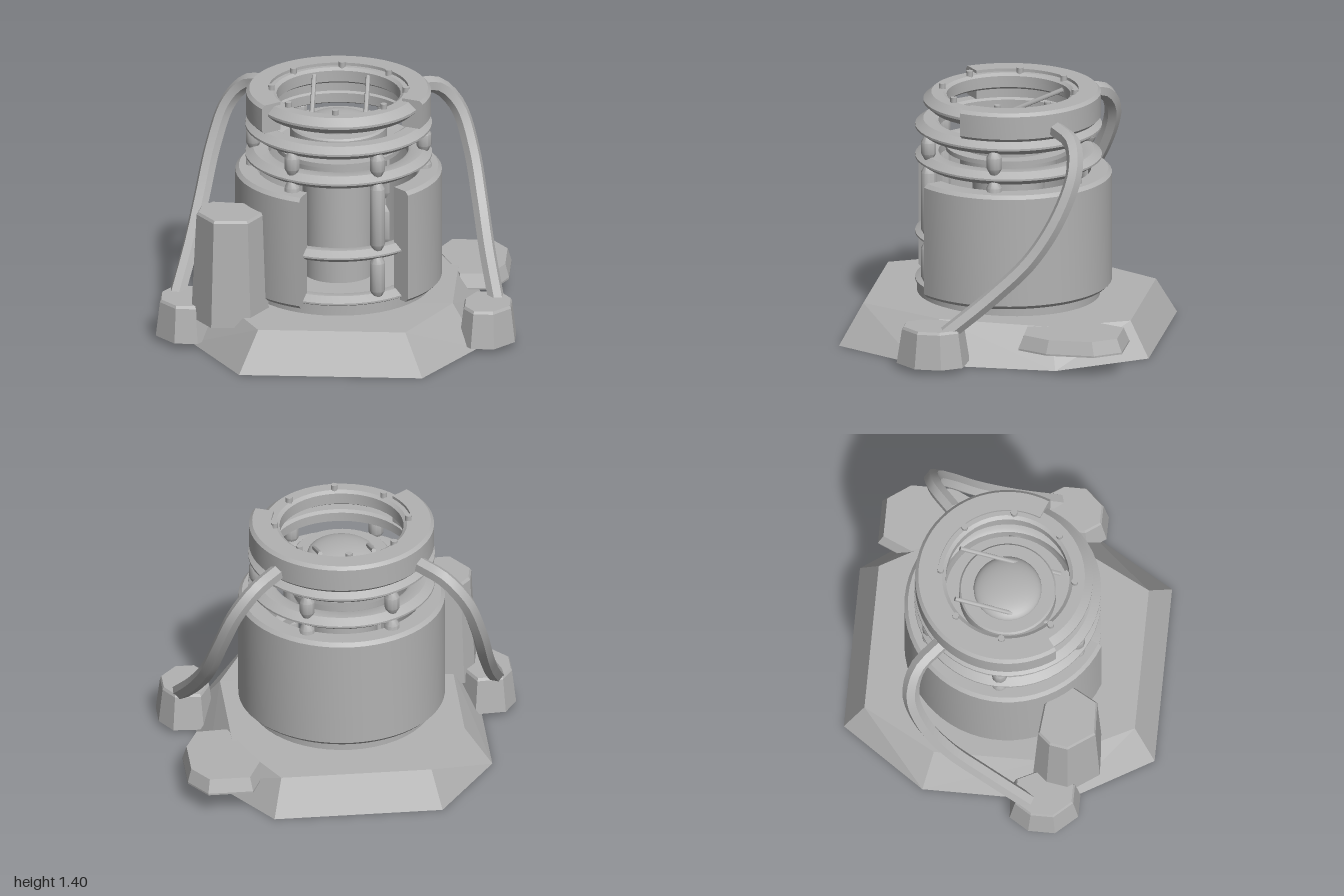
import * as THREE from 'three';
import { mergeGeometries, toCreasedNormals } from 'three/addons/utils/BufferGeometryUtils.js';
import { ConvexGeometry } from 'three/addons/geometries/ConvexGeometry.js';

const RAD = Math.PI / 180;

export function createModel() {
  const model = new THREE.Group();
  model.name = 'reactorPod';
  const grey = new THREE.MeshStandardMaterial({ color: 0xb2b2b2 });
  grey.name = 'plainGrey';

  const add = (name, geometry) => {
    const mesh = new THREE.Mesh(geometry, grey);
    mesh.name = name;
    model.add(mesh);
    return mesh;
  };

  // Closed (r, y) profile, counterclockwise, swept between two angles from +z towards +x
  const sweep = (profile, start = 0, end = 360, segments = 48) => {
    const pts = profile.map(([r, y]) => new THREE.Vector2(r, y));
    const parts = [new THREE.LatheGeometry([...pts, pts[0].clone()], segments, start * RAD, (end - start) * RAD)];
    if (end - start < 360) {
      const endCap = (sign, angle) => new THREE.ShapeGeometry(
        new THREE.Shape(pts.map(p => new THREE.Vector2(sign * p.x, p.y)))
      ).rotateY((angle - sign * 90) * RAD);
      parts.push(endCap(1, start), endCap(-1, end));
    }
    return toCreasedNormals(mergeGeometries(parts.map(g => g.toNonIndexed())), 0.5);
  };

  // Rectangular ring section with chamfered edges
  const blockProfile = (inner, outer, y0, y1, c) => [
    [inner, y0], [outer - c, y0], [outer, y0 + c], [outer, y1 - c], [outer - c, y1], [inner, y1]
  ];
  // Ring section that comes to a ridge on its outside
  const ridgeProfile = (inner, outer, y, h) => [
    [inner, y - h * 0.7], [inner + 0.02, y - h], [outer - 0.045, y - h], [outer, y - h * 0.15],
    [outer, y + h * 0.15], [outer - 0.045, y + h], [inner + 0.02, y + h], [inner, y + h * 0.7]
  ];

  // Faceted block: one outline, stacked as [y, inset scale] levels about a centre
  const block = (outline, cx, cz, levels) => new ConvexGeometry(levels.flatMap(([y, s]) =>
    outline.map(([x, z]) => new THREE.Vector3(cx + (x - cx) * s, y, cz + (z - cz) * s))));

  // Sloped ground slab, slightly lower at the back
  const slab = [];
  for (const s of [-1, 1]) {
    for (const [x, y, z] of [
      [0.47, 0, -0.87], [0.8, 0, -0.4], [0.8, 0, 0.38], [0.51, 0, 0.87],
      [0.42, 0.2, -0.76], [0.65, 0.21, -0.35], [0.65, 0.225, 0.28], [0.41, 0.225, 0.75]
    ]) slab.push(new THREE.Vector3(s * x, y, z));
  }
  add('baseSlab', new ConvexGeometry(slab));

  // Low pad at the back and tall block at the front
  add('backPad', block([
    [0.58, -0.78], [0.83, -0.78], [0.93, -0.64], [0.93, -0.37], [0.85, -0.2], [0.66, -0.19], [0.5, -0.6]
  ], 0.72, -0.49, [[0.125, 1], [0.135, 1], [0.21, 0.9]]));
  add('sideBlock', block([
    [-0.71, 0.21], [-0.5, 0.23], [-0.42, 0.3], [-0.365, 0.4], [-0.46, 0.57], [-0.68, 0.58], [-0.8, 0.41], [-0.78, 0.29]
  ], -0.59, 0.4, [[0.165, 1], [0.775, 0.86], [0.79, 0.81]]));

  // Curved hoses and the feet that hold them
  for (const s of [1, -1]) {
    const side = s > 0 ? 'left' : 'right';
    add(side + 'Foot', block([
      [0.76, 0.09], [0.93, 0.1], [1, 0.21], [1, 0.36], [0.89, 0.48], [0.76, 0.48], [0.69, 0.38], [0.69, 0.23]
    ].map(([x, z]) => [s * x, z]), s * 0.85, 0.285, [[0.03, 1], [0.225, 0.85], [0.24, 0.8]]));
    const path = new THREE.CatmullRomCurve3([
      [0.4, 1.28, -0.34], [0.53, 1.24, -0.45], [0.64, 1.11, -0.48], [0.72, 0.88, -0.41],
      [0.775, 0.63, -0.26], [0.825, 0.42, -0.05], [0.89, 0.21, 0.2]
    ].map(([x, y, z]) => new THREE.Vector3(s * x, y, z)));
    add(side + 'Hose', toCreasedNormals(new THREE.TubeGeometry(path, 28, 0.047, 6), 0.6));
  }

  // Outer drum, open at the front, on a round plinth
  add('drumPlinth', toCreasedNormals(new THREE.CylinderGeometry(0.51, 0.51, 0.1, 48).translate(0, 0.25, 0), 0.5));
  add('drumShell', sweep(blockProfile(0.46, 0.575, 0.27, 0.928, 0.02), 45, 340.5));

  // Inner core with collar, flange and dome
  add('core', sweep([
    [0, 0.28], [0.2, 0.28], [0.2, 0.93], [0.27, 0.93], [0.27, 1.04], [0.35, 1.04],
    [0.35, 1.065], [0.27, 1.065], [0.27, 1.17], [0.26, 1.18], [0, 1.18]
  ]));
  add('coreDome', new THREE.SphereGeometry(0.19, 32, 10, 0, Math.PI * 2, 0, Math.PI / 2)
    .scale(1, 0.32, 1).translate(0, 1.178, 0));

  // Slanted rods through the core
  for (const x of [-0.15, 0.15]) {
    const path = new THREE.LineCurve3(new THREE.Vector3(x, 1.085, 0.28), new THREE.Vector3(x, 1.35, -0.28));
    const length = path.getLength();
    const rod = add('slantedRod', toCreasedNormals(new THREE.CylinderGeometry(0.013, 0.013, length, 8), 0.9));
    rod.position.copy(path.getPoint(0.5));
    rod.quaternion.setFromUnitVectors(new THREE.Vector3(0, 1, 0), path.getTangent(0));
  }

  // Cage rings: two full ones above the drum, two arcs across its opening
  add('upperCageRing', sweep(ridgeProfile(0.39, 0.52, 1.18, 0.038)));
  add('middleCageRing', sweep(ridgeProfile(0.39, 0.52, 1.005, 0.036)));
  add('lowerCageArc', sweep(ridgeProfile(0.41, 0.52, 0.565, 0.033), -24, 50, 14));
  add('bottomCageArc', sweep(ridgeProfile(0.41, 0.52, 0.295, 0.033), -24, 50, 14));

  // Six spindle struts between the rings
  const spindle = (y0, y1) => new THREE.LatheGeometry([
    [0.024, y0], [0.043, y0 + 0.035], [0.043, y1 - 0.035], [0.024, y1]
  ].map(([r, y]) => new THREE.Vector2(r, y)), 10);
  const strut = toCreasedNormals(mergeGeometries(
    [[0.31, 0.545], [0.585, 0.985], [1.025, 1.16]].map(([a, b]) => spindle(a, b).toNonIndexed())
  ), 0.65);
  const strutCore = new THREE.CylinderGeometry(0.024, 0.024, 0.88, 8).translate(0, 0.74, 0);
  for (let i = 0; i < 6; i++) {
    const a = (30 + 60 * i) * RAD;
    for (const [name, geometry] of [['strut', strut], ['strutCore', strutCore]])
      add(name, geometry).position.set(0.475 * Math.sin(a), 0, 0.475 * Math.cos(a));
  }

  // Top ring, its open cover and eight bolts
  add('topRing', sweep(ridgeProfile(0.345, 0.475, 1.325, 0.046)));
  add('topCover', sweep(blockProfile(0.39, 0.515, 1.222, 1.388, 0.018), 68, 307));
  for (let i = 0; i < 8; i++) {
    const a = i * 45 * RAD;
    add('bolt', toCreasedNormals(new THREE.CylinderGeometry(0.019, 0.019, 0.045, 8), 0.9))
      .position.set(0.375 * Math.sin(a), 1.377, 0.375 * Math.cos(a));
  }
  return model;
}
